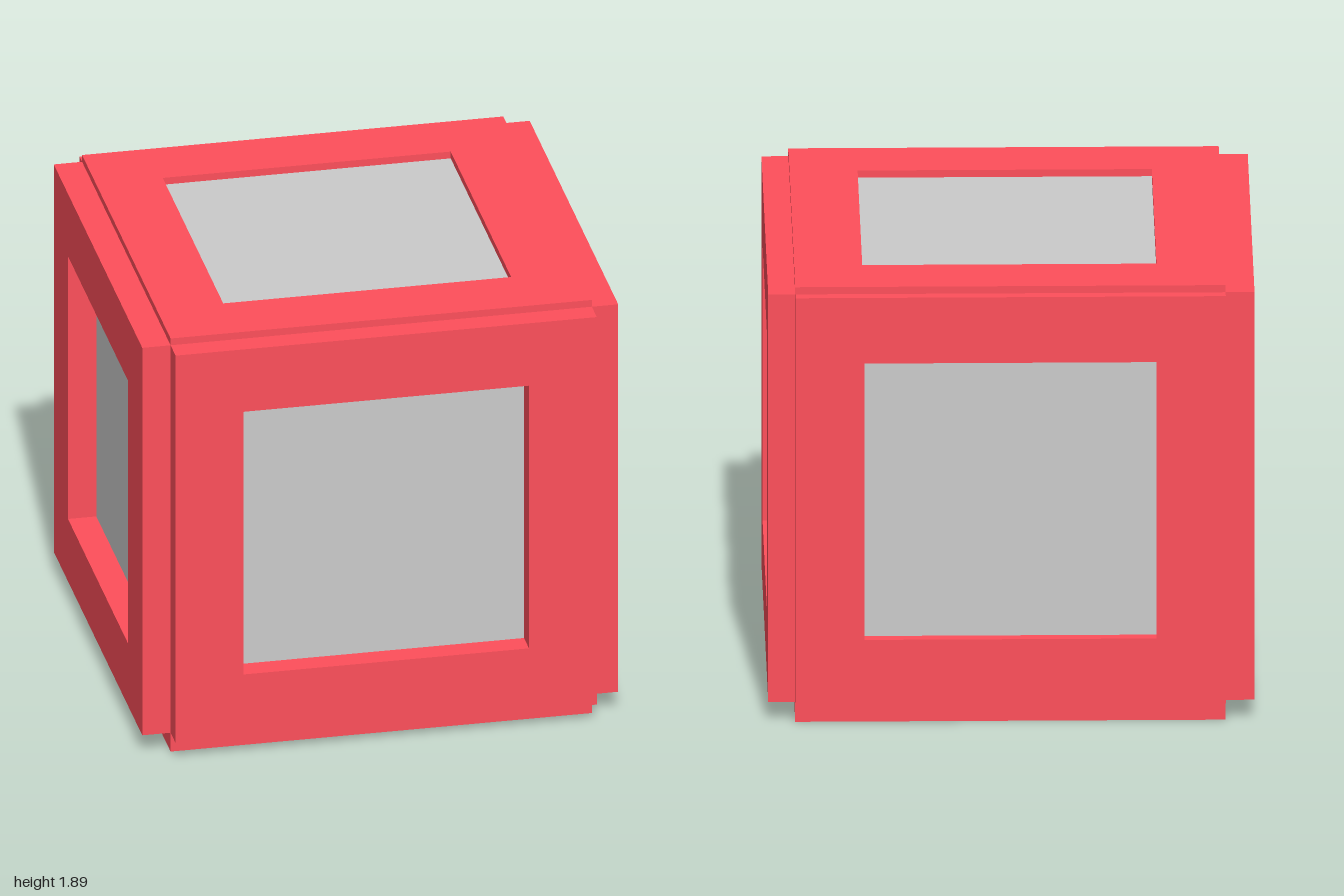
import * as THREE from 'three';

const SIZE = 1.77; // edge of the core cube
const CENTRE = new THREE.Vector3(0.004, 0.971, -0.027);

const grey = new THREE.MeshStandardMaterial({ color: 0xcccccc });
const red = new THREE.MeshStandardMaterial({ color: 0xff4f5b });

// Square frame with a square window, its back on z = 0 and facing +z
function frameGeometry(depth, opening) {
  const square = (Path, s) => new Path([[-s, -s], [s, -s], [s, s], [-s, s]]
    .map(([x, y]) => new THREE.Vector2(x / 2, y / 2)));
  const shape = square(THREE.Shape, SIZE);
  shape.holes.push(square(THREE.Path, opening));
  return new THREE.ExtrudeGeometry(shape, { depth, bevelEnabled: false });
}

export function createModel() {
  const model = new THREE.Group();
  model.name = 'framedCube';

  // Plain cube that shows through the windows
  const core = new THREE.Mesh(new THREE.BoxGeometry(SIZE, SIZE, SIZE), grey);
  core.name = 'core';
  core.position.copy(CENTRE);
  model.add(core);

  // One frame on each face: name, outward normal, thickness, window size
  const frames = [
    ['frontFrame', [0, 0, 1], 0.1, 1.2],
    ['backFrame', [0, 0, -1], 0.05, 1.2],
    ['leftFrame', [1, 0, 0], 0.111, 1.2],
    ['rightFrame', [-1, 0, 0], 0.119, 1.2],
    ['topFrame', [0, 1, 0], 0.031, 1.21],
    ['bottomFrame', [0, -1, 0], 0.086, 1.2],
  ];
  const forward = new THREE.Vector3(0, 0, 1);
  for (const [name, direction, depth, opening] of frames) {
    const normal = new THREE.Vector3(...direction);
    const frame = new THREE.Mesh(frameGeometry(depth, opening), red);
    frame.name = name;
    frame.quaternion.setFromUnitVectors(forward, normal);
    frame.position.copy(CENTRE).addScaledVector(normal, SIZE / 2);
    model.add(frame);
  }
  return model;
}
